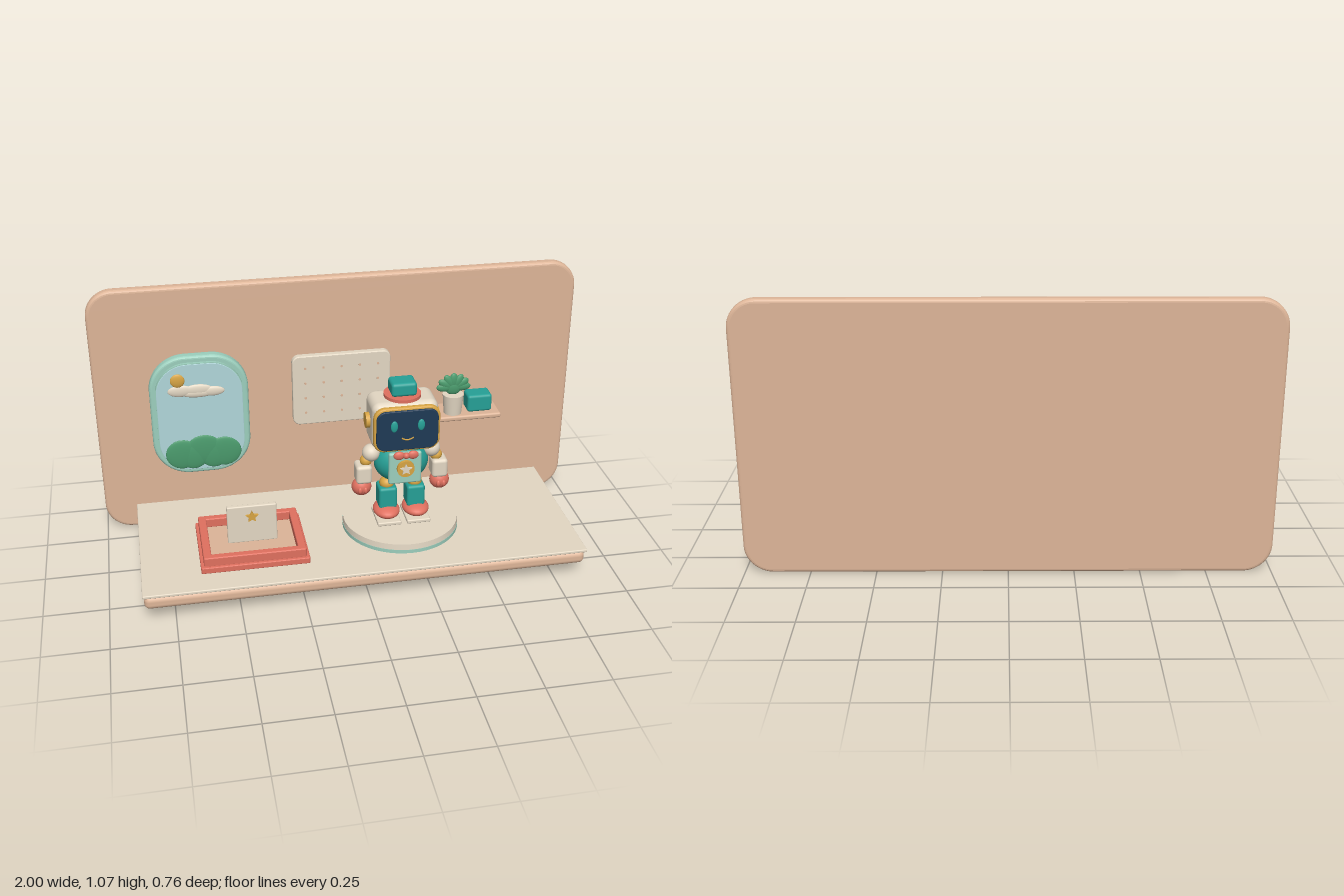
import * as THREE from 'three';
import { RoundedBoxGeometry } from 'three/addons/geometries/RoundedBoxGeometry.js';

const mat = (name, color) => {
  const m = new THREE.MeshStandardMaterial({ color });
  m.name = name;
  return m;
};

// Rounded rectangle outline centred on the origin
function roundRect(w, h, r, P = THREE.Shape) {
  const s = new P(), x = w / 2, y = h / 2;
  s.moveTo(-x + r, -y);
  s.lineTo(x - r, -y); s.absarc(x - r, -y + r, r, -Math.PI / 2, 0);
  s.lineTo(x, y - r); s.absarc(x - r, y - r, r, 0, Math.PI / 2);
  s.lineTo(-x + r, y); s.absarc(-x + r, y - r, r, Math.PI / 2, Math.PI);
  s.lineTo(-x, -y + r); s.absarc(-x + r, -y + r, r, Math.PI, Math.PI * 1.5);
  return s;
}

// Upright slab with rounded corners and bevelled rim, centred in depth
function slabGeo(w, h, d, r, b = 0.004, hole = null) {
  const s = roundRect(w - 2 * b, h - 2 * b, Math.max(r - b, 0.001));
  if (hole) s.holes.push(roundRect(hole[0], hole[1], hole[2], THREE.Path));
  const g = new THREE.ExtrudeGeometry(s, { depth: d - 2 * b, bevelEnabled: b > 0, bevelSize: b, bevelThickness: b, bevelSegments: 4, curveSegments: 12 });
  return g.translate(0, 0, -(d - 2 * b) / 2);
}

function starGeo(r, d) {
  const pts = [];
  for (let i = 0; i < 10; i++) {
    const a = Math.PI / 2 + i * Math.PI / 5, q = i % 2 ? r * 0.48 : r;
    pts.push(new THREE.Vector2(Math.cos(a) * q, Math.sin(a) * q));
  }
  return new THREE.ExtrudeGeometry(new THREE.Shape(pts), { depth: d, bevelEnabled: false });
}

export function createModel() {
  const root = new THREE.Group();
  root.name = 'robotDeskScene';
  const wood = mat('wood', 0xddb598), cream = mat('cream', 0xe3d7c3), coral = mat('coral', 0xe0705f);
  const teal = mat('teal', 0x26a096), mint = mat('mint', 0x9ccfbd), glass = mat('glass', 0xb0d6da);
  const gold = mat('gold', 0xd8a544), navy = mat('navy', 0x1f3a55), green = mat('green', 0x4a9a6c);

  const group = (name, x = 0, y = 0, z = 0) => {
    const g = new THREE.Group();
    g.name = name; g.position.set(x, y, z); root.add(g);
    return g;
  };
  const add = (parent, name, geo, m, x, y, z) => {
    const o = new THREE.Mesh(geo, m);
    o.name = name; o.position.set(x, y, z); parent.add(o);
    return o;
  };
  const box = (p, name, m, w, h, d, r, x, y, z) => add(p, name, new RoundedBoxGeometry(w, h, d, 4, r), m, x, y, z);
  const ball = (p, name, m, rx, ry, rz, x, y, z) => add(p, name, new THREE.SphereGeometry(1, 28, 18).scale(rx, ry, rz), m, x, y, z);
  const cyl = (p, name, m, r0, r1, h, x, y, z) => add(p, name, new THREE.CylinderGeometry(r0, r1, h, 48), m, x, y, z);

  // Back wall and desk
  add(root, 'backWall', slabGeo(2, 1.07, 0.045, 0.11, 0.014), wood, 0, 0.535, -0.3575);
  box(root, 'deskBody', wood, 1.73, 0.056, 0.665, 0.022, 0, 0.09, 0.043);
  box(root, 'deskTop', cream, 1.74, 0.013, 0.677, 0.004, 0, 0.1255, 0.0425);

  // Window with landscape
  const win = group('window', -0.58, 0.525, 0);
  add(win, 'windowFrame', slabGeo(0.4, 0.53, 0.045, 0.15, 0.012), mint, 0, 0, -0.3125);
  add(win, 'windowGlass', slabGeo(0.35, 0.48, 0.02, 0.13, 0.004), glass, 0, 0, -0.283);
  add(win, 'windowInnerRim', slabGeo(0.354, 0.484, 0.012, 0.132, 0, [0.33, 0.46, 0.12]), mint, 0, 0, -0.28);
  ball(win, 'sun', gold, 0.029, 0.029, 0.008, -0.085, 0.175, -0.264);
  for (const [x, y, rx, ry] of [[-0.075, 0.127, 0.052, 0.025], [-0.005, 0.127, 0.06, 0.025], [0.052, 0.118, 0.05, 0.021], [-0.005, 0.113, 0.07, 0.018]])
    ball(win, 'cloudPuff', cream, rx, ry, 0.009, x, y, -0.268);
  for (const [x, y, r] of [[-0.085, -0.16, 0.068], [0.005, -0.145, 0.075], [0.085, -0.16, 0.072], [-0.04, -0.17, 0.06], [0.045, -0.17, 0.06]])
    ball(win, 'bush', green, r, Math.min(r, 0.066), 0.009, x, y, -0.266);

  // Pegboard with rows of holes
  const board = group('pegboard', 0.008, 0.59, 0);
  add(board, 'boardPanel', slabGeo(0.41, 0.31, 0.03, 0.03, 0.005), cream, 0, 0, -0.32);
  for (let i = 0; i < 5; i++) for (let j = 0; j < 4; j++)
    add(board, 'pegHole', new THREE.CylinderGeometry(0.005, 0.005, 0.004, 12).rotateX(Math.PI / 2), wood, -0.152 + i * 0.076, -0.1 + j * 0.067, -0.304);

  // Shelf with potted plant and small box
  const shelf = group('shelf');
  box(shelf, 'shelfBoard', wood, 0.28, 0.022, 0.137, 0.008, 0.53, 0.455, -0.267);
  cyl(shelf, 'plantPot', cream, 0.044, 0.037, 0.088, 0.47, 0.508, -0.245);
  for (let i = 0; i < 7; i++) {
    const a = (i - 3) * 0.52;
    const leaf = ball(shelf, 'leaf', green, 0.019, 0.037, 0.011, 0.47 + Math.sin(a) * 0.036, 0.583 + Math.cos(a) * 0.026, -0.245);
    leaf.rotation.z = -a;
  }
  ball(shelf, 'leafHeart', green, 0.035, 0.032, 0.012, 0.47, 0.58, -0.245);
  box(shelf, 'shelfBox', teal, 0.105, 0.076, 0.078, 0.012, 0.583, 0.504, -0.264);

  // Tray on the desk: stepped frame and floor
  const tray = group('tray', -0.43, 0, 0.107);
  const ring = (name, w, d, h, b, y) =>
    add(tray, name, slabGeo(w, d, h, 0.008, b, [0.345, 0.263, 0.004]).rotateX(-Math.PI / 2), coral, 0, y, 0);
  ring('trayBase', 0.422, 0.336, 0.026, 0.004, 0.145);
  ring('trayRim', 0.398, 0.312, 0.04, 0.005, 0.174);
  box(tray, 'trayFloor', wood, 0.37, 0.02, 0.28, 0.003, 0, 0.146, 0);

  // Standing card with star
  box(tray, 'card', cream, 0.196, 0.164, 0.02, 0.005, 0.005, 0.236, -0.003);
  add(tray, 'cardStar', starGeo(0.026, 0.008), gold, 0.005, 0.272, 0.007);

  // Round pedestal
  const px = 0.185, pz = 0.042;
  cyl(root, 'pedestalBase', mint, 0.235, 0.235, 0.016, px, 0.139, pz);
  cyl(root, 'pedestalTop', cream, 0.232, 0.234, 0.025, px, 0.1585, pz);

  // Robot body
  const bot = group('robot', px, 0, pz);
  ball(bot, 'torso', teal, 0.11, 0.09, 0.072, 0, 0.423, 0);
  box(bot, 'chestPlate', mint, 0.132, 0.138, 0.02, 0.009, 0, 0.427, 0.07);
  add(bot, 'chestBadge', new THREE.CylinderGeometry(0.035, 0.035, 0.012, 32).rotateX(Math.PI / 2), gold, 0, 0.43, 0.086);
  add(bot, 'badgeStar', starGeo(0.025, 0.006), cream, 0, 0.43, 0.092);
  cyl(bot, 'neck', gold, 0.035, 0.035, 0.03, 0, 0.507, 0);
  ball(bot, 'bowKnot', coral, 0.013, 0.013, 0.013, 0, 0.49, 0.09);

  // Robot limbs, ears and bow, mirrored
  for (const s of [-1, 1]) {
    ball(bot, 'bowWing', coral, 0.022, 0.018, 0.011, s * 0.028, 0.491, 0.088);
    ball(bot, 'shoulder', cream, 0.036, 0.036, 0.036, s * 0.122, 0.468, 0);
    ball(bot, 'elbow', gold, 0.024, 0.024, 0.024, s * 0.143, 0.435, 0);
    box(bot, 'forearm', cream, 0.064, 0.08, 0.075, 0.014, s * 0.154, 0.384, 0);
    ball(bot, 'hand', coral, 0.04, 0.038, 0.036, s * 0.16, 0.319, 0);
    for (const t of [-1, 1]) ball(bot, 'finger', coral, 0.009, 0.014, 0.008, s * 0.16 + t * 0.011, 0.315, 0.032);
    ball(bot, 'hip', gold, 0.03, 0.027, 0.03, s * 0.057, 0.325, 0);
    box(bot, 'leg', teal, 0.074, 0.095, 0.082, 0.012, s * 0.057, 0.27, 0);
    ball(bot, 'foot', coral, 0.054, 0.027, 0.069, s * 0.06, 0.21, 0.014);
    box(bot, 'sole', cream, 0.096, 0.016, 0.14, 0.005, s * 0.06, 0.18, 0.017);
    add(bot, 'ear', new THREE.CylinderGeometry(0.031, 0.031, 0.022, 32).rotateZ(Math.PI / 2), gold, s * 0.136, 0.615, 0);
    ball(bot, 'eye', teal, 0.014, 0.024, 0.006, s * 0.053, 0.63, 0.107);
  }

  // Robot head and face
  box(bot, 'head', cream, 0.262, 0.2, 0.16, 0.034, 0, 0.61, 0);
  add(bot, 'faceFrame', slabGeo(0.262, 0.188, 0.024, 0.045, 0.008), gold, 0, 0.609, 0.086);
  add(bot, 'faceScreen', slabGeo(0.244, 0.168, 0.014, 0.038, 0.004), navy, 0, 0.609, 0.099);
  const smile = new THREE.QuadraticBezierCurve3(new THREE.Vector3(-0.024, 0.006, 0), new THREE.Vector3(0, -0.012, 0), new THREE.Vector3(0.024, 0.006, 0));
  add(bot, 'mouth', new THREE.TubeGeometry(smile, 12, 0.003, 6), gold, 0, 0.573, 0.107);

  // Hat
  cyl(bot, 'hatBrim', coral, 0.073, 0.073, 0.013, 0, 0.716, 0);
  box(bot, 'hatCrown', teal, 0.1, 0.056, 0.085, 0.013, 0, 0.749, 0);

  return root;
}
